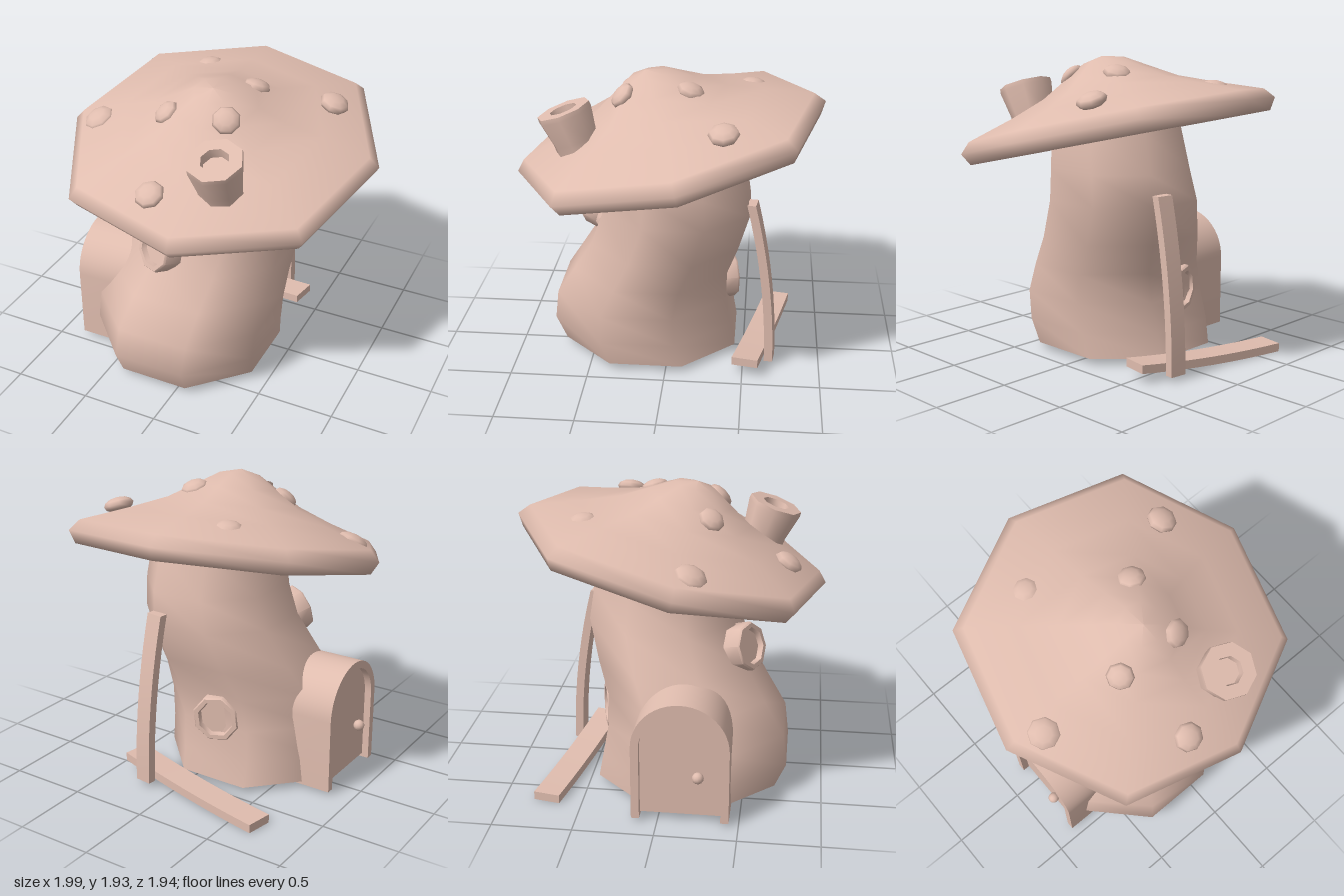
import * as THREE from 'three';
import { toCreasedNormals } from 'three/addons/utils/BufferGeometryUtils.js';

const material = new THREE.MeshStandardMaterial({ color: 0xdfbcae, side: THREE.DoubleSide });
const V2 = (x, y) => new THREE.Vector2(x, y);
const UP = new THREE.Vector3(0, 1, 0);

function part(name, geometry, parent) {
  const mesh = new THREE.Mesh(geometry, material);
  mesh.name = name;
  parent.add(mesh);
  return mesh;
}

// Move every vertex of a geometry by a rule
function bend(geometry, rule) {
  const p = geometry.attributes.position;
  const v = new THREE.Vector3();
  for (let i = 0; i < p.count; i++) {
    v.fromBufferAttribute(p, i);
    rule(v);
    p.setXYZ(i, v.x, v.y, v.z);
  }
  return geometry;
}

// Leaning eight-sided trunk from stacked rings: y, centre x, centre z, radius x, radius z
function trunkGeometry() {
  const rings = [
    [0.04, -0.16, 0.13, 0.55, 0.57], [0.2, -0.16, 0.18, 0.57, 0.59],
    [0.4, -0.14, 0.185, 0.57, 0.56], [0.6, -0.1, 0.12, 0.55, 0.5],
    [0.8, -0.04, 0.025, 0.51, 0.475], [1.05, 0.03, -0.055, 0.457, 0.465],
    [1.25, 0.06, -0.055, 0.425, 0.44], [1.5, 0.06, -0.025, 0.4, 0.405],
    [1.7, 0.05, -0.01, 0.35, 0.35],
  ];
  const sides = 8, position = [], index = [];
  rings.forEach(([y, cx, cz, rx, rz], i) => {
    for (let j = 0; j < sides; j++) {
      const a = ((j + 0.5) / sides) * Math.PI * 2;
      const z = cz + Math.cos(a) * rz / 0.924;
      const tilt = i === rings.length - 1 ? -0.22 * z : 0;
      position.push(cx + Math.sin(a) * rx / 0.924, y + tilt, z);
      if (i === rings.length - 1) continue;
      const k = (j + 1) % sides, a0 = i * sides;
      index.push(a0 + j, a0 + k, a0 + sides + j, a0 + k, a0 + sides + k, a0 + sides + j);
    }
  });
  const g = new THREE.BufferGeometry();
  g.setAttribute('position', new THREE.Float32BufferAttribute(position, 3));
  g.setIndex(index);
  g.computeVertexNormals();
  // Flat floor under the first ring
  const floor = new THREE.BufferGeometry();
  const floorIndex = [];
  for (let j = 1; j < sides - 1; j++) floorIndex.push(0, j + 1, j);
  floor.setAttribute('position', new THREE.Float32BufferAttribute(position.slice(0, sides * 3), 3));
  floor.setIndex(floorIndex);
  floor.computeVertexNormals();
  return [g, floor];
}

// Round-topped door outline, from the foot of one side to the foot of the other
function arch(half, bottom, spring) {
  const shape = new THREE.Shape();
  shape.moveTo(half, bottom);
  shape.lineTo(half, spring);
  shape.absarc(0, spring, half, 0, Math.PI, false);
  shape.lineTo(-half, bottom);
  return shape;
}

// Extrude an outline in the z-y plane from x0 outward along -x
function extrudeSideways(shape, x0, depth) {
  const g = new THREE.ExtrudeGeometry(shape, { depth, bevelEnabled: false, curveSegments: 12 });
  g.rotateY(-Math.PI / 2);
  g.translate(x0, 0, 0.14);
  return toCreasedNormals(g, 0.5);
}

function roundWindow(name, centre, normal, depth, parent) {
  const group = new THREE.Group();
  group.name = name;
  const ring = new THREE.LatheGeometry(
    [V2(0.15, -depth), V2(0.155, -0.012), V2(0.146, 0), V2(0.118, 0), V2(0.108, -0.04)], 8);
  part('windowFrame', toCreasedNormals(ring, 0.9), group);
  const pane = new THREE.CircleGeometry(0.112, 8);
  pane.rotateX(-Math.PI / 2);
  pane.rotateY(Math.PI / 8 * 4);
  pane.translate(0, -0.035, 0);
  part('windowPane', pane, group);
  group.position.set(...centre);
  group.quaternion.setFromUnitVectors(UP, new THREE.Vector3(...normal).normalize());
  parent.add(group);
}

export function createModel() {
  const model = new THREE.Group();
  model.name = 'mushroomHouse';

  const [trunk, floor] = trunkGeometry();
  part('trunk', trunk, model);
  part('trunkFloor', floor, model);

  // Thin octagonal cap, hollow below; corners uneven and the peak pushed forward
  const profile = [
    [0.28, 0.27], [0.43, 0.2], [0.65, 0.11], [0.86, 0.03], [0.955, -0.078], [1.0, 0], [0.94, 0.068],
    [0.65, 0.165], [0.43, 0.25], [0.27, 0.345], [0.13, 0.43], [0, 0.46],
  ].map(p => V2(...p));
  const phase = 0.113;
  const capGeometry = bend(new THREE.LatheGeometry(profile, 8, phase), v => {
    const r = Math.hypot(v.x, v.z);
    const stretch = 1 + 0.03 * Math.sin(2 * (Math.atan2(v.x, v.z) - phase)) ** 2;
    v.x *= stretch;
    v.z = v.z * stretch + 0.05 * Math.max(0, 1 - r / 0.65);
  });
  capGeometry.rotateX(0.227);
  capGeometry.rotateZ(-0.03);
  capGeometry.translate(0, 1.49, 0);
  const cap = part('cap', capGeometry, model);
  cap.updateMatrixWorld();

  // Flattened spots dropped onto the cap: x, z, radius, lift
  const ray = new THREE.Raycaster();
  const spots = [
    [-0.33, -0.51, 0.09, -0.025], [0.6, -0.36, 0.095, 0.035], [0.17, -0.14, 0.088, -0.01],
    [-0.77, 0.19, 0.105, -0.015], [-0.25, 0.26, 0.085, 0], [0.16, 0.28, 0.088, 0.005],
    [-0.12, 0.73, 0.093, 0.015],
  ];
  for (const [x, z, r, lift] of spots) {
    ray.set(new THREE.Vector3(x, 3, z), new THREE.Vector3(0, -1, 0));
    const hit = ray.intersectObject(cap)[0];
    const spot = part('capSpot', new THREE.SphereGeometry(r, 8, 6), model);
    spot.scale.y = 0.5;
    spot.position.copy(hit.point);
    spot.position.y += lift;
    spot.quaternion.setFromUnitVectors(UP, hit.face.normal);
  }

  // Chimney leaning forward, its closed foot reaching through the cap
  const chimney = part('chimney', toCreasedNormals(new THREE.LatheGeometry(
    [V2(0, -0.33), V2(0.14, -0.33), V2(0.142, -0.2), V2(0.173, -0.03), V2(0.17, 0), V2(0.088, 0),
      V2(0.082, -0.06), V2(0, -0.06)], 8), 0.9), model);
  chimney.position.set(0.255, 1.735, 0.632);
  chimney.rotation.x = 0.35;

  roundWindow('frontWindow', [-0.23, 0.94, 0.53], [-0.46, 0.28, 0.84], 0.13, model);
  roundWindow('backWindow', [-0.17, 0.455, -0.425], [-0.27, 0, -0.96], 0.12, model);

  // Door: deep arched frame, recessed panel and knob
  const door = new THREE.Group();
  door.name = 'door';
  model.add(door);
  const frame = arch(0.3, 0.02, 0.5);
  frame.lineTo(-0.25, 0.02);
  frame.lineTo(-0.25, 0.5);
  frame.absarc(0, 0.5, 0.25, Math.PI, 0, true);
  frame.lineTo(0.25, 0.02);
  part('doorFrame', extrudeSideways(frame, -0.5, 0.35), door);
  part('doorPanel', extrudeSideways(arch(0.252, 0.045, 0.5), -0.74, 0.065), door);
  const knob = part('doorKnob', new THREE.SphereGeometry(0.036, 12, 8), door);
  knob.position.set(-0.842, 0.32, 0.25);

  // Curved plank on the ground behind, with a bowed post standing on it
  const plank = part('plank', toCreasedNormals(bend(new THREE.BoxGeometry(1.11, 0.055, 0.17, 10, 1, 1), v => {
    const t = v.x / 1.11 + 0.5;
    v.y += 0.0275 + 0.072 * t * t;
  }), 0.6), model);
  plank.position.set(-0.145, 0, -0.62);
  plank.rotation.y = -0.19;

  const post = part('post', toCreasedNormals(bend(new THREE.BoxGeometry(0.11, 1.1, 0.055, 1, 10, 1), v => {
    const t = v.y / 1.1 + 0.5;
    v.z += 0.14 * t * t;
  }), 0.6), model);
  post.position.set(0.2, 0.58, -0.675);
  post.rotation.y = -0.13;

  return model;
}
